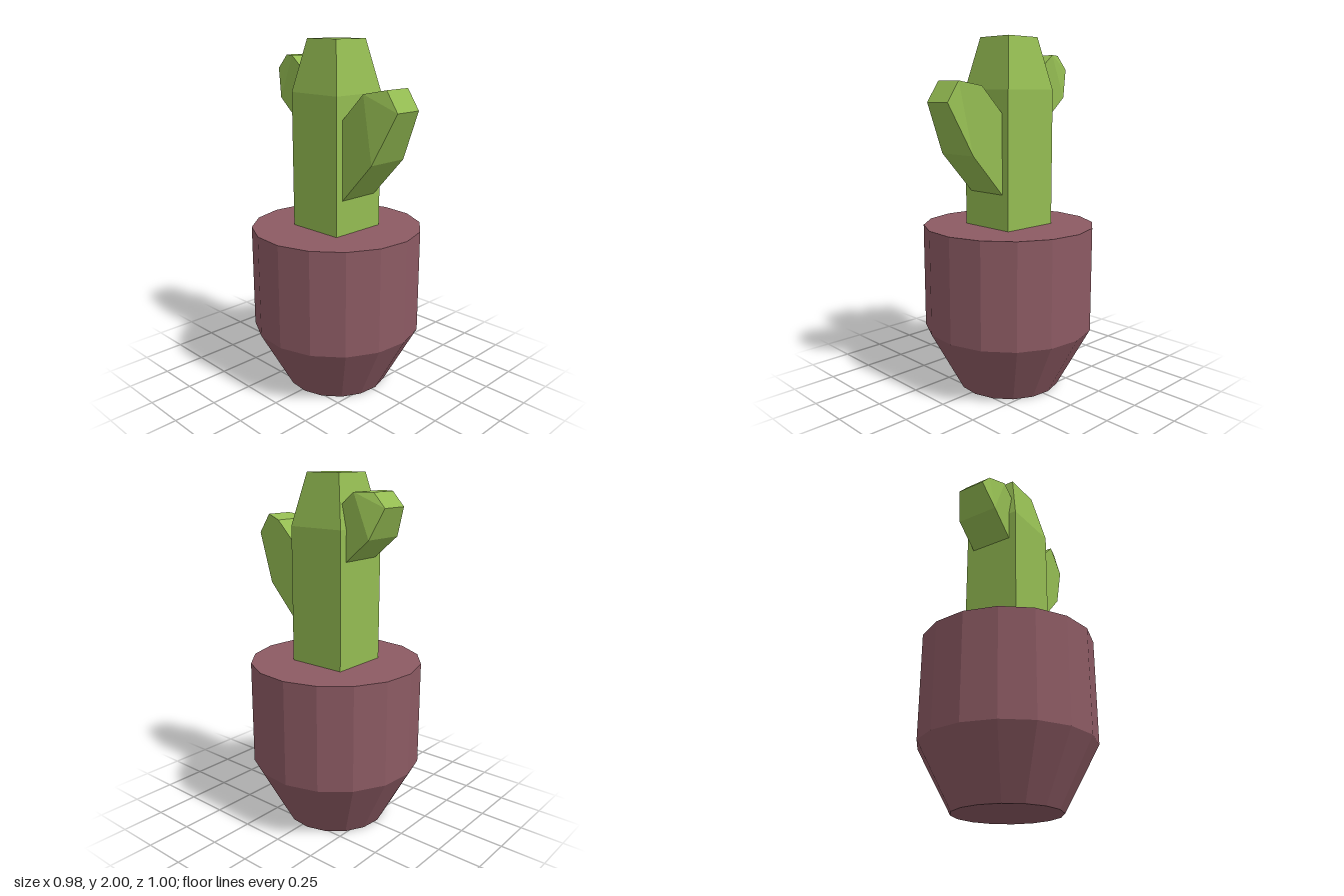
import * as THREE from 'three';

const green = new THREE.MeshStandardMaterial({ color: 0x94bc52, flatShading: true });
const clay = new THREE.MeshStandardMaterial({ color: 0x8c5a63, flatShading: true });

// Lofts rectangular sections [halfWidth, [z, y] of first edge, [z, y] of second edge]
function loft(name, sections) {
  const rings = sections.map(([w, [z0, y0], [z1, y1]]) => [
    [-w, y0, z0], [w, y0, z0], [w, y1, z1], [-w, y1, z1],
  ]);
  const pos = [];
  const quad = (a, b, c, d) => pos.push(...a, ...b, ...c, ...a, ...c, ...d);
  for (let i = 0; i < rings.length - 1; i++) {
    for (let j = 0; j < 4; j++) {
      const k = (j + 1) % 4;
      quad(rings[i][j], rings[i][k], rings[i + 1][k], rings[i + 1][j]);
    }
  }
  quad(...[...rings[0]].reverse());
  quad(...rings[rings.length - 1]);
  const geo = new THREE.BufferGeometry();
  geo.setAttribute('position', new THREE.Float32BufferAttribute(pos, 3));
  geo.computeVertexNormals();
  const mesh = new THREE.Mesh(geo, green);
  mesh.name = name;
  return mesh;
}

export function createModel() {
  const model = new THREE.Group();
  model.name = 'pottedCactus';

  // Pot: tapered foot, straight wall, closed top of soil
  const profile = [[0, 0], [0.297, 0], [0.49, 0.355], [0.49, 0.953], [0, 0.953]]
    .map(([r, y]) => new THREE.Vector2(r, y));
  const pot = new THREE.Mesh(new THREE.LatheGeometry(profile, 16, 0.1), clay);
  pot.name = 'pot';
  pot.position.z = -0.01;
  model.add(pot);

  // Square trunk with a tapered crown
  model.add(loft('trunk', [
    [0.173, [0.163, 0.953], [-0.185, 0.953]],
    [0.173, [0.163, 1.715], [-0.185, 1.715]],
    [0.112, [0.1, 2], [-0.122, 2]],
  ]));

  // Front arm, root to tip
  model.add(loft('frontArm', [
    [0.127, [0.163, 1.15], [0.163, 1.59]],
    [0.127, [0.37, 1.375], [0.307, 1.735]],
    [0.083, [0.5, 1.65], [0.425, 1.76]],
  ]));

  // Back arm, tip to root
  model.add(loft('backArm', [
    [0.083, [-0.397, 1.83], [-0.325, 1.907]],
    [0.127, [-0.33, 1.67], [-0.23, 1.907]],
    [0.127, [-0.185, 1.545], [-0.155, 1.845]],
  ]));

  return model;
}
